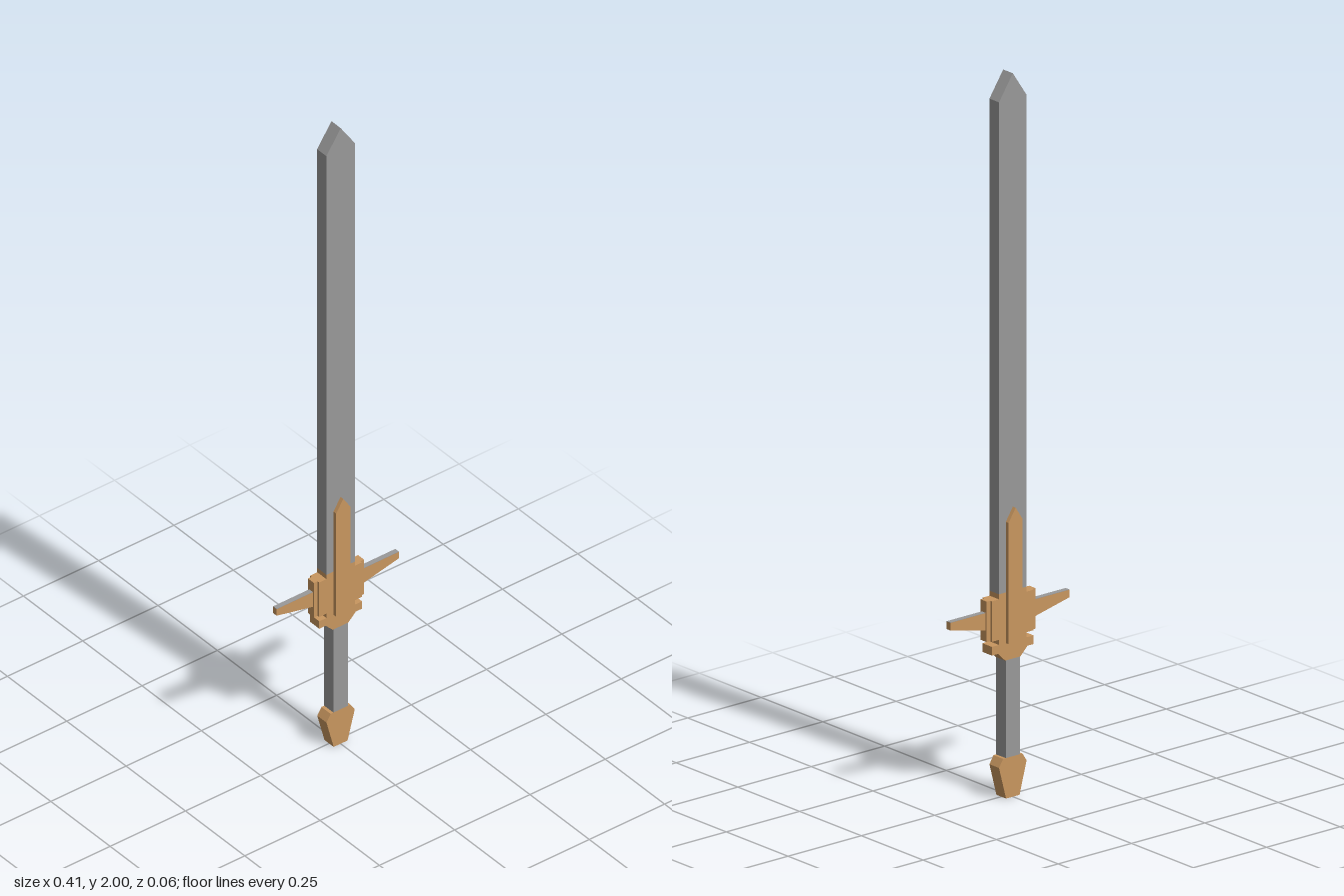
import * as THREE from 'three';

const steel = new THREE.MeshStandardMaterial({ color: 0xcccccc, flatShading: true });
steel.color.set(0x999999);
const bronze = new THREE.MeshStandardMaterial({ color: 0xc8965f, flatShading: true });

// Flat plate of the given half thickness, cut from an outline in the xy plane
function plate(name, points, half, material) {
  const shape = new THREE.Shape(points.map(([x, y]) => new THREE.Vector2(x, y)));
  const geometry = new THREE.ExtrudeGeometry(shape, { depth: half * 2, bevelEnabled: false });
  geometry.translate(0, 0, -half);
  const mesh = new THREE.Mesh(geometry, material);
  mesh.name = name;
  return mesh;
}

// Symmetric plate: right half outline from bottom to top, mirrored in x
function mirrored(name, half, z, material) {
  const left = half.filter(([x]) => x > 0).map(([x, y]) => [-x, y]).reverse();
  return plate(name, [...half, ...left], z, material);
}

export function createModel() {
  const sword = new THREE.Group();
  sword.name = 'sword';
  const thick = 0.0195;

  // Blade and grip
  sword.add(mirrored('blade', [[0.047, 0.57], [0.047, 1.93], [0, 2]], thick, steel));
  sword.add(mirrored('grip', [[0.024, 0.112], [0.024, 0.382]], thick, steel));

  // Pommel
  sword.add(mirrored('pommel',
    [[0.023, 0], [0.047, 0.09], [0.033, 0.112]], thick, bronze));

  // Guard: collar, core and the thinner block through it
  sword.add(mirrored('collar',
    [[0.026, 0.382], [0.05, 0.406], [0.071, 0.406], [0.071, 0.43]], thick, bronze));
  sword.add(mirrored('guardCore', [[0.047, 0.43], [0.047, 0.57]], thick, bronze));
  sword.add(mirrored('guardShoulder', [[0.071, 0.444], [0.071, 0.556]], thick - 0.0003, bronze));
  sword.add(mirrored('guardBlock', [[0.083, 0.444], [0.083, 0.556]], 0.0125, bronze));

  // Tapered spine standing proud of both faces
  sword.add(mirrored('spine', [[0.024, 0.43], [0.024, 0.765], [0, 0.802]], 0.031, bronze));

  // Crossguard wings with steel upper edges
  for (const side of [1, -1]) {
    const wing = new THREE.Group();
    wing.name = side > 0 ? 'leftWing' : 'rightWing';
    const outline = [[0.08, 0.475], [0.203, 0.502], [0.203, 0.523], [0.08, 0.523]];
    wing.add(plate('wingPlate', outline.map(([x, y]) => [x * side, y]), 0.0075, bronze));
    const edge = new THREE.Mesh(new THREE.BoxGeometry(0.123, 0.001, 0.015), steel);
    edge.name = 'wingEdge';
    edge.position.set(side * 0.1415, 0.5235, 0);
    wing.add(edge);
    sword.add(wing);
  }
  return sword;
}
